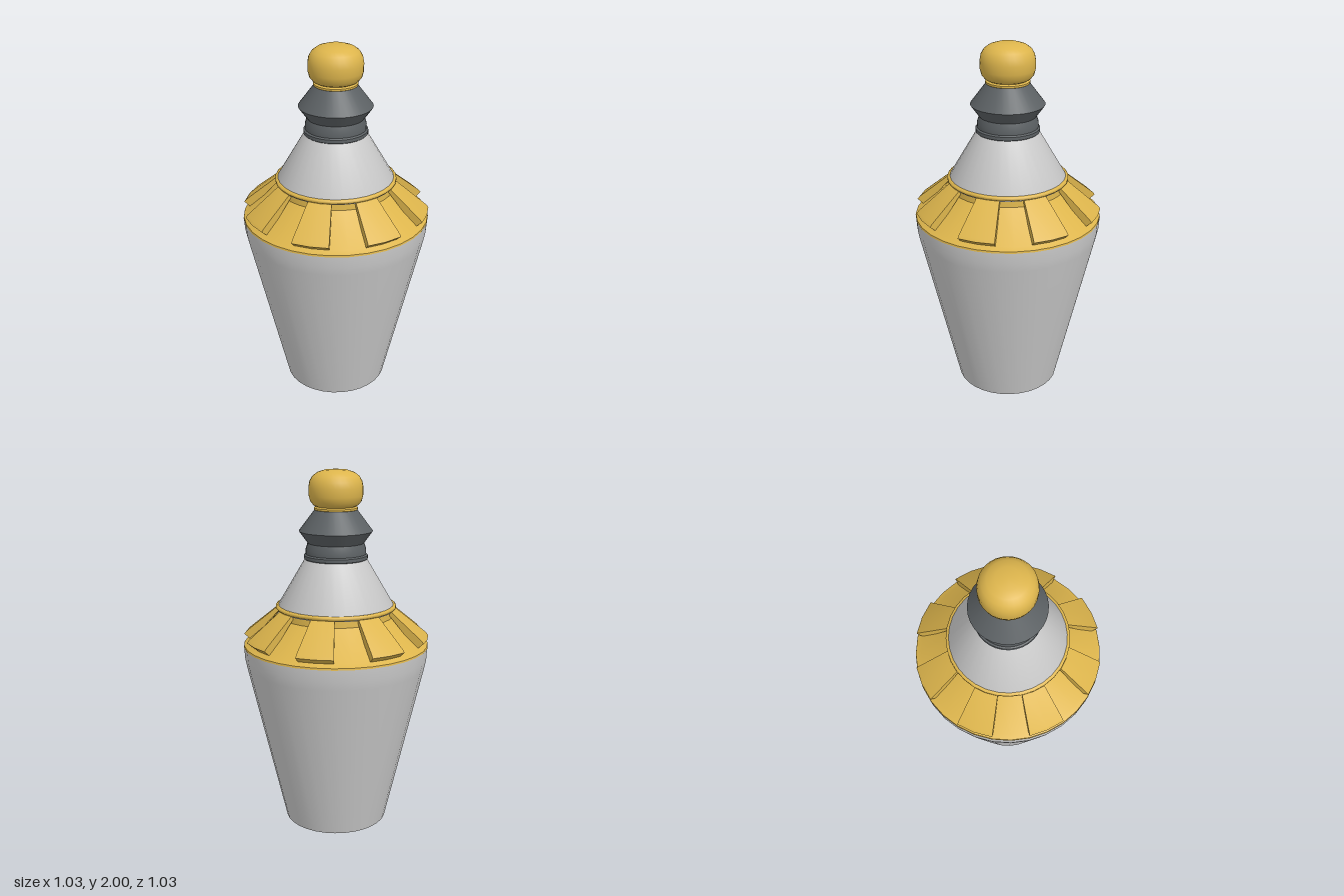
import * as THREE from 'three';
import { toCreasedNormals } from 'three/addons/utils/BufferGeometryUtils.js';

const SIDES = 32;
const PANELS = 8;

export function createModel() {
  const model = new THREE.Group();
  model.name = 'flask';

  const material = (color) => new THREE.MeshStandardMaterial({ color, side: THREE.DoubleSide });
  const grey = material(0xcccccc);
  const gold = material(0xddb54c);
  const dark = material(0x5c6164);

  const vectors = (points) => points.map(([r, y]) => new THREE.Vector2(r, y));

  // Turned part, profile given from bottom to top
  function turned(name, points, mat, crease = 0.5) {
    const geometry = toCreasedNormals(new THREE.LatheGeometry(vectors(points), SIDES), crease);
    const mesh = new THREE.Mesh(geometry, mat);
    mesh.name = name;
    model.add(mesh);
  }

  // Tapered vessel with a flat base and softly rounded upper rim
  turned('body', [
    [0, 0], [0.29, 0], [0.502, 0.92], [0.512, 0.97], [0.516, 1.035], [0, 1.035],
  ], grey);

  // Collar base, showing as the recessed panels
  turned('collarBase', [
    [0.3, 1.035], [0.517, 1.035], [0.515, 1.045], [0.485, 1.062], [0.32, 1.205], [0.315, 1.25],
  ], gold);

  // Raised wedge panels, every other sixteenth of the collar
  const section = vectors([[0.47, 1.06], [0.485, 1.06], [0.517, 1.088], [0.505, 1.103], [0.33, 1.245], [0.3, 1.245]]);
  const arc = Math.PI / PANELS;
  const panels = new THREE.Group();
  panels.name = 'collarPanels';
  for (let i = 0; i < PANELS; i++) {
    const start = i * 2 * arc;
    const panel = new THREE.Group();
    panel.name = `collarPanel${i + 1}`;
    const skin = new THREE.LatheGeometry([...section, section[0]], 2, start, arc);
    panel.add(new THREE.Mesh(toCreasedNormals(skin, 0.5), gold));
    for (const angle of [start, start + arc]) {
      const end = new THREE.ShapeGeometry(new THREE.Shape(section));
      end.rotateY(angle - Math.PI / 2);
      panel.add(new THREE.Mesh(end, gold));
    }
    panel.children.forEach((mesh, k) => { mesh.name = k ? 'panelEnd' : 'panelSkin'; });
    panels.add(panel);
  }
  model.add(panels);

  // Thin rim above the collar
  turned('collarRim', [
    [0.3, 1.243], [0.328, 1.245], [0.334, 1.25], [0.334, 1.262], [0.328, 1.267], [0.3, 1.267],
  ], gold, 0.9);

  // Conical shoulder
  turned('shoulder', [[0, 1.24], [0.325, 1.24], [0.322, 1.262], [0.17, 1.52], [0, 1.52]], grey);

  // Dark neck with a base ring and a flared band
  turned('neck', [
    [0, 1.513], [0.166, 1.513], [0.175, 1.522], [0.175, 1.54], [0.166, 1.547],
    [0.166, 1.572], [0.155, 1.607], [0.202, 1.672], [0.115, 1.787], [0, 1.787],
  ], dark, 0.6);

  // Rounded stopper with a small lip
  turned('stopperLip', [
    [0, 1.782], [0.112, 1.782], [0.119, 1.787], [0.119, 1.797], [0.11, 1.803], [0, 1.803],
  ], gold, 0.9);
  turned('stopper', [
    [0.1, 1.8], [0.122, 1.811], [0.139, 1.831], [0.147, 1.861], [0.148, 1.905], [0.142, 1.938],
    [0.126, 1.965], [0.1, 1.984], [0.06, 1.997], [0, 2],
  ], gold, 0.9);

  return model;
}
